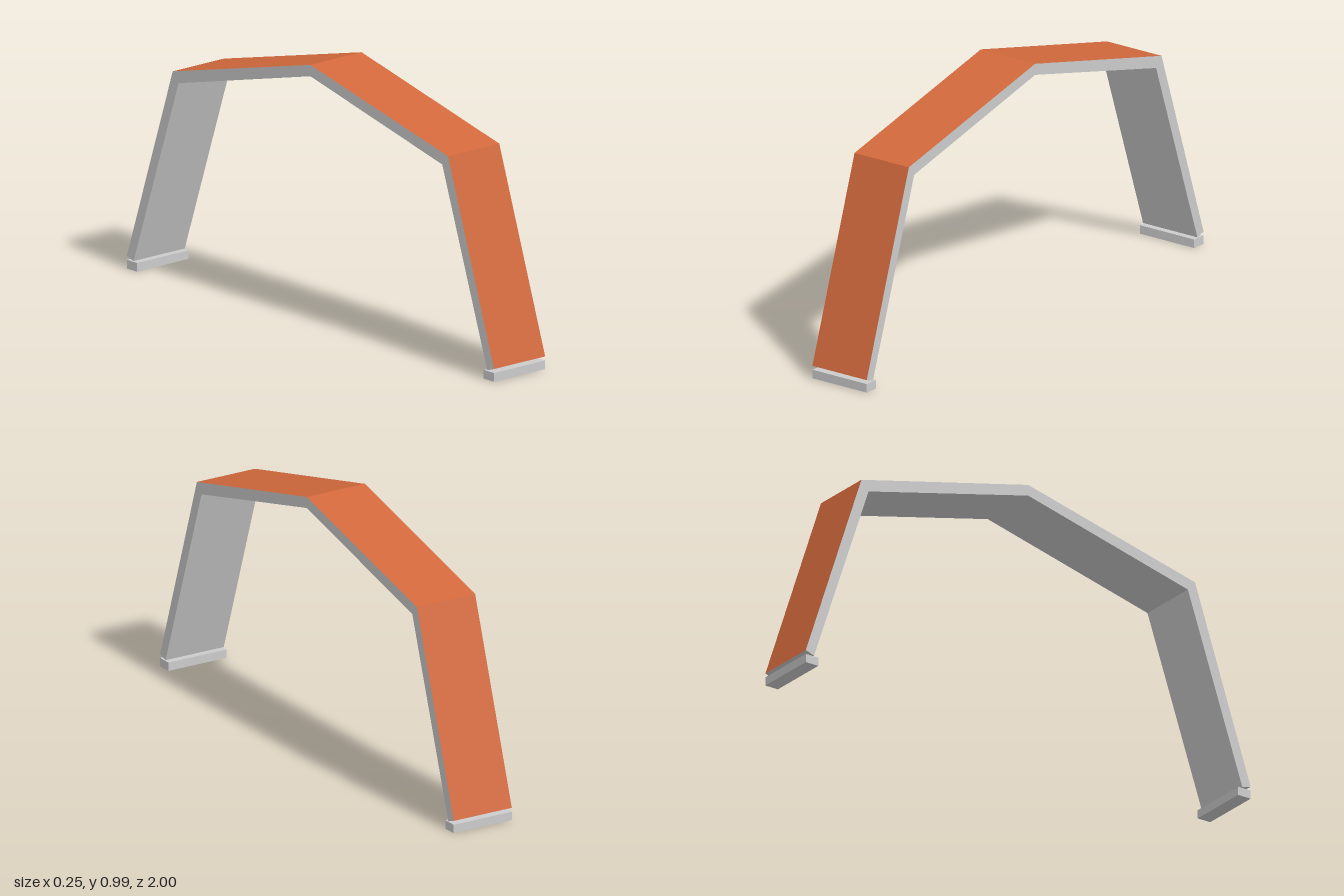
import * as THREE from 'three';

const HALF = 0.125; // half the width of the arch

// Flat-shaded mesh from quads, corners counter-clockwise seen from outside
function quadMesh(name, quads, material) {
  const pos = quads.flatMap(([a, b, c, d]) => [a, b, c, a, c, d].flat());
  const geo = new THREE.BufferGeometry();
  geo.setAttribute('position', new THREE.Float32BufferAttribute(pos, 3));
  geo.computeVertexNormals();
  const mesh = new THREE.Mesh(geo, material);
  mesh.name = name;
  return mesh;
}

// Quads sweeping a [z, y] polyline across the width
function ribbon(path) {
  return path.slice(1).map(([z1, y1], i) => {
    const [z0, y0] = path[i];
    return [[-HALF, y0, z0], [HALF, y0, z0], [HALF, y1, z1], [-HALF, y1, z1]];
  });
}

// Mirror half a profile front to back
const mirrored = (half) => [...half, ...half.slice(0, -1).reverse().map(([z, y]) => [-z, y])];

export function createModel() {
  const orange = new THREE.MeshStandardMaterial({ name: 'orange', color: 0xd2693c });
  const grey = new THREE.MeshStandardMaterial({ name: 'light grey', color: 0xcccccc });

  const group = new THREE.Group();
  group.name = 'archFrame';

  // Arch profile as [z, y], front foot to back foot
  const outer = mirrored([[1, 0.048], [0.75, 0.8], [0, 0.985]]);
  const inner = mirrored([[0.963, 0.036], [0.718, 0.762], [0, 0.942]]);
  const last = outer.length - 1;

  // Painted outer skin
  group.add(quadMesh('outerSkin', ribbon(outer), orange));

  // Underside together with the two leg ends
  const underside = [outer[last], ...inner.slice().reverse(), outer[0]];
  group.add(quadMesh('underside', ribbon(underside), grey));

  // Side edges
  for (const side of [1, -1]) {
    const at = ([z, y]) => [side * HALF, y, z];
    const quads = outer.slice(1).map((next, i) => {
      const q = [outer[i], inner[i], inner[i + 1], next].map(at);
      return side > 0 ? q : q.reverse();
    });
    group.add(quadMesh(side > 0 ? 'leftEdge' : 'rightEdge', quads, grey));
  }

  // Foot pads
  for (const side of [1, -1]) {
    const foot = new THREE.Mesh(new THREE.BoxGeometry(2 * HALF, 0.033, 0.056), grey);
    foot.name = side > 0 ? 'frontFoot' : 'backFoot';
    foot.position.set(0, 0.0165, side * 0.972);
    group.add(foot);
  }

  return group;
}
